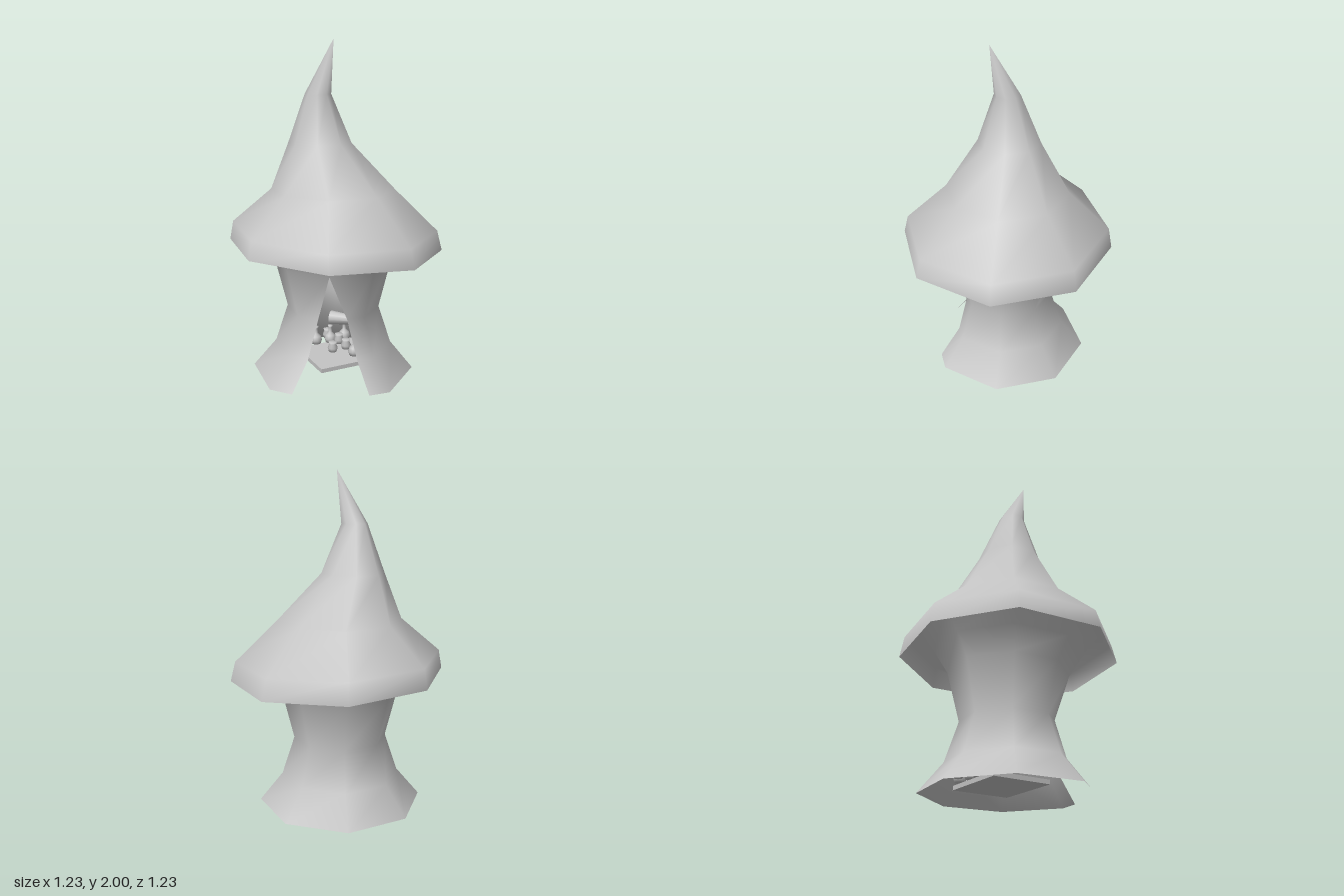
import * as THREE from 'three';
import { mergeVertices } from 'three/addons/utils/BufferGeometryUtils.js';

const SIDES = 8;
const START = THREE.MathUtils.degToRad(74);

// Corner k of a ring; corners run from the doorway round towards +x
function corner(ring, k) {
  const a = START - (k % SIDES) * Math.PI * 2 / SIDES;
  const x = ring.r * Math.cos(a), z = ring.r * Math.sin(a);
  return [x + ring.x, ring.y + (ring.tx || 0) * x + (ring.tz || 0) * z, z + (ring.z || 0)];
}

// Smooth skin over rows of points, listed from the bottom up
function skin(rows) {
  const pos = [];
  for (let i = 0; i < rows.length - 1; i++) {
    for (let k = 0; k < rows[i].length - 1; k++) {
      const a = rows[i][k], b = rows[i][k + 1], c = rows[i + 1][k + 1], d = rows[i + 1][k];
      pos.push(...a, ...b, ...c, ...a, ...c, ...d);
    }
  }
  let geo = new THREE.BufferGeometry();
  geo.setAttribute('position', new THREE.Float32BufferAttribute(pos, 3));
  geo = mergeVertices(geo, 1e-4);
  geo.computeVertexNormals();
  return geo;
}

const ringRow = (ring) => Array.from({ length: SIDES + 1 }, (_, k) => corner(ring, k));
const mix = (p, q, t) => p.map((v, i) => v + (q[i] - v) * t);

export function createModel() {
  const model = new THREE.Group();
  model.name = 'mushroomHut';
  const clay = new THREE.MeshStandardMaterial({ color: 0xc4c4c4, side: THREE.DoubleSide });
  clay.name = 'pale grey';

  function add(name, geo, x = 0, y = 0, z = 0, parent = model) {
    const mesh = new THREE.Mesh(geo, clay);
    mesh.name = name;
    mesh.position.set(x, y, z);
    parent.add(mesh);
    return mesh;
  }

  // Bent pointed cap, open underneath
  const capRings = [
    { y: 0.79, r: 0.64, x: 0, tx: -0.04, tz: 0.015 },
    { y: 0.905, r: 0.615, x: -0.005, tx: -0.04 },
    { y: 1.13, r: 0.37, x: -0.015 },
    { y: 1.405, r: 0.187, x: -0.09, z: 0.02 },
    { y: 1.69, r: 0.077, x: -0.095, z: 0.035 },
    { y: 2, r: 0, x: 0.02, z: 0.09 },
  ];
  add('cap', skin(capRings.map(ringRow)));

  // Waisted wall; door gives the share of each front panel cut away (right, left)
  const wallRings = [
    { y: 0, r: 0.495, x: -0.018, door: [0.66, 0.61] },
    { y: 0.17, r: 0.355, x: -0.016, door: [0.62, 0.52] },
    { y: 0.4, r: 0.28, x: -0.016, door: [0.48, 0.37] },
    { y: 0.69, r: 0.353, x: -0.018, door: [0, 0] },
    { y: 0.82, r: 0.435, x: -0.01, door: [0, 0] },
    { y: 0.95, r: 0.53, x: -0.01, door: [0, 0] },
  ];
  add('wall', skin(wallRings.map((ring) => {
    const row = ringRow(ring);
    const first = mix(row[0], row[1], ring.door[0]);
    const last = mix(row[SIDES], row[SIDES - 1], ring.door[1]);
    row[0] = first;
    row[SIDES] = last;
    return row;
  })));

  // Low table set diagonally inside
  const table = add('table', new THREE.BoxGeometry(0.42, 0.025, 0.36), 0.01, 0.06, -0.05);
  table.rotation.y = Math.PI / 4;

  // Tapered shelf roll above the table
  const roll = add('shelfRoll', new THREE.CylinderGeometry(0.012, 0.045, 0.3, 10), 0.06, 0.25, -0.17);
  roll.rotation.z = -Math.PI / 2;

  // Bottles and pots
  const bottleShape = [[0, 0], [0.03, 0], [0.038, 0.025], [0.03, 0.05], [0.011, 0.07], [0.011, 0.1], [0.017, 0.115], [0, 0.115]];
  const potShape = [[0, 0], [0.025, 0], [0.032, 0.025], [0.022, 0.05], [0.027, 0.062], [0, 0.062]];
  const lathe = (shape) => new THREE.LatheGeometry(shape.map((p) => new THREE.Vector2(...p)), 10);
  const bottleGeo = lathe(bottleShape), potGeo = lathe(potShape);
  for (const [x, z] of [[0.11, -0.04], [-0.1, -0.19], [-0.03, -0.27], [-0.18, -0.14]]) {
    add('bottle', bottleGeo, x, 0.073, z);
  }
  for (const [x, z] of [[-0.035, -0.05], [0.03, -0.12], [-0.14, -0.25], [-0.04, -0.19], [0.06, -0.25], [0.16, -0.1]]) {
    add('pot', potGeo, x, 0.073, z);
  }

  // Stacked boxes at the side
  for (const [x, y, z, s, turn] of [[0.2, 0.11, -0.05, 0.07, 0.3], [0.26, 0.1, -0.04, 0.05, 0.7], [0.18, 0.17, -0.06, 0.05, 0.9]]) {
    add('crate', new THREE.BoxGeometry(s, s, s), x, y, z).rotation.y = turn;
  }
  return model;
}
